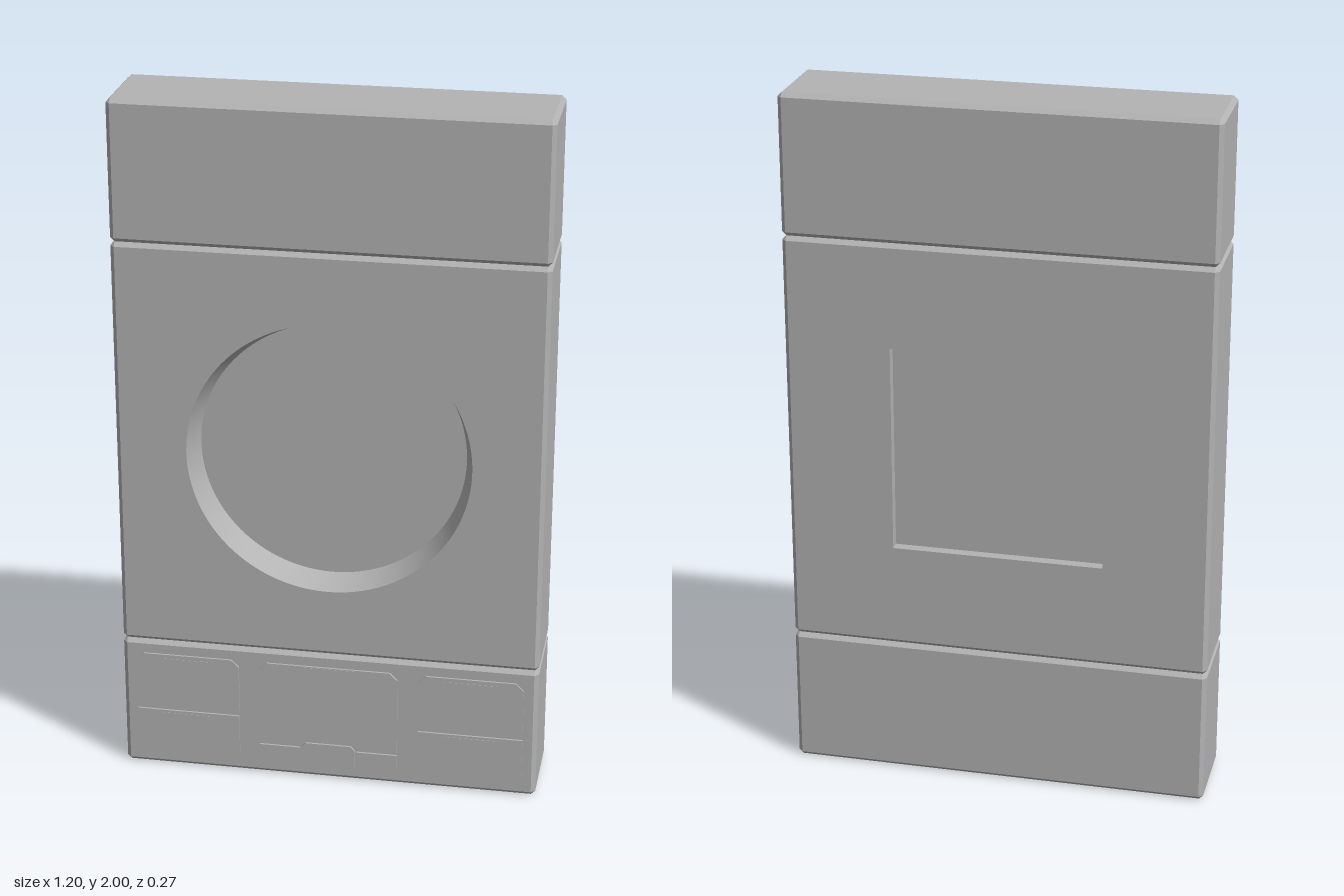
import * as THREE from 'three';

const FRONT = 0.127, BACK = -0.133, C = 0.012;
const grey = new THREE.MeshStandardMaterial({ color: 0xb3b3b3, side: THREE.DoubleSide });
grey.name = 'plain grey';

function add(parent, name, geometry, x = 0, y = 0, z = 0) {
  const mesh = new THREE.Mesh(geometry, grey);
  mesh.name = name;
  mesh.position.set(x, y, z);
  parent.add(mesh);
  return mesh;
}

const polygon = (pts) => new THREE.Shape(pts.map(([x, y]) => new THREE.Vector2(x, y)));

// Eight-point rectangle; the cuts i and j trim each corner along x and y.
function ring(w, h, i, j, z) {
  return [
    [w - i, -h, z], [w, -h + j, z], [w, h - j, z], [w - i, h, z],
    [-w + i, h, z], [-w, h - j, z], [-w, -h + j, z], [-w + i, -h, z],
  ];
}

// Chamfered sides of a block, lofted from back to front with flat facets.
function sides(w, h) {
  const rings = [
    ring(w - C, h - C, 0, 0, BACK), ring(w, h, C, C, BACK + C),
    ring(w, h, C, C, FRONT - C), ring(w - C, h - C, 0, 0, FRONT),
  ];
  const pos = [];
  for (let r = 0; r < 3; r++) {
    for (let k = 0; k < 8; k++) {
      const n = (k + 1) % 8;
      const a = rings[r][k], b = rings[r][n], c = rings[r + 1][n], d = rings[r + 1][k];
      pos.push(...a, ...b, ...c, ...a, ...c, ...d);
    }
  }
  const g = new THREE.BufferGeometry();
  g.setAttribute('position', new THREE.Float32BufferAttribute(pos, 3));
  g.computeVertexNormals();
  return g;
}

// Block standing between two heights, with optional openings in front and back.
function block(parent, name, y0, y1, frontHole, backHole) {
  const group = new THREE.Group();
  group.name = name;
  group.position.y = (y0 + y1) / 2;
  parent.add(group);
  const w = 0.6, h = (y1 - y0) / 2, a = w - C, b = h - C;
  add(group, name + 'Sides', sides(w, h));
  const face = (hole) => {
    const s = polygon([[-a, -b], [a, -b], [a, b], [-a, b]]);
    if (hole) s.holes.push(hole);
    return new THREE.ShapeGeometry(s, 64);
  };
  add(group, name + 'Front', face(frontHole), 0, 0, FRONT);
  add(group, name + 'Back', face(backHole), 0, 0, BACK).rotation.y = Math.PI;
  return group;
}

// Thin raised plate on the front of the base.
function plate(parent, name, pts, thickness = 0.006, z = FRONT) {
  const g = new THREE.ExtrudeGeometry(polygon(pts), { depth: thickness, bevelEnabled: false });
  return add(parent, name, g, 0, 0, z);
}

// Trapezoid finger pull hanging from a height.
function pull(parent, name, x, y) {
  plate(parent, name, [
    [x - 0.075, y], [x - 0.06, y - 0.022], [x + 0.06, y - 0.022], [x + 0.075, y],
  ], 0.002, FRONT + 0.005);
}

export function createModel() {
  const model = new THREE.Group();
  model.name = 'wallPanel';

  // Three stacked blocks
  const circle = new THREE.Path().absarc(0, 0, 0.4, 0, Math.PI * 2, true);
  const S = 0.3;
  const square = polygon([[-S, -S], [-S, S], [S, S], [S, -S]]);
  const base = block(model, 'baseBlock', 0, 0.4);
  const middle = block(model, 'middleBlock', 0.4, 1.6, circle, square);
  block(model, 'topBlock', 1.6, 2);

  // Round tapered recess in front
  const depth = 0.08;
  const wall = new THREE.LatheGeometry(
    [new THREE.Vector2(0.4, 0), new THREE.Vector2(0.375, -depth)], 128);
  wall.rotateX(Math.PI / 2);
  add(middle, 'roundRecessWall', wall, 0, 0, FRONT);
  add(middle, 'roundRecessFloor', new THREE.CircleGeometry(0.375, 128), 0, 0, FRONT - depth);

  // Shallow square recess in the back
  const shallow = 0.03;
  for (let k = 0; k < 4; k++) {
    const g = new THREE.PlaneGeometry(2 * S, shallow);
    g.rotateX(Math.PI / 2);
    g.translate(0, S, BACK + shallow / 2);
    g.rotateZ(k * Math.PI / 2);
    add(middle, 'squareRecessWall', g);
  }
  add(middle, 'squareRecessFloor', new THREE.PlaneGeometry(2 * S, 2 * S), 0, 0, BACK + shallow)
    .rotation.y = Math.PI;

  // Front panels, laid out in heights from the ground
  const panels = new THREE.Group();
  panels.name = 'frontPanels';
  panels.position.y = -0.2;
  base.add(panels);
  const k = 0.022, bottom = 0.04, top = 0.36;

  // Paired drawers at each side
  for (const x of [-0.41, 0.41]) {
    const l = x - 0.15, r = x + 0.15;
    plate(panels, 'upperDrawer', [
      [l, 0.186], [r, 0.186], [r, top - k], [r - k, top], [l + k, top], [l, top - k],
    ]);
    plate(panels, 'lowerDrawer', [
      [l + k, bottom], [r - k, bottom], [r, bottom + k], [r, 0.18], [l, 0.18], [l, bottom + k],
    ]);
    pull(panels, 'upperDrawerPull', x, top - 0.012);
    pull(panels, 'lowerDrawerPull', x, 0.172);
  }

  // Central door with a stepped lower edge
  plate(panels, 'centreDoor', [
    [-0.2, 0.1], [-0.085, 0.1], [-0.07, 0.116], [0.07, 0.116], [0.085, 0.1], [0.2, 0.1],
    [0.2, top - k], [0.2 - k, top], [-0.2 + k, top], [-0.2, top - k],
  ]);
  pull(panels, 'centreDoorPull', 0, top - 0.003);
  for (const s of [-1, 1]) {
    plate(panels, 'kickPlate', [
      [s * 0.2, bottom], [s * 0.083, bottom], [s * 0.083, 0.095], [s * 0.2, 0.095],
    ]);
  }
  plate(panels, 'footTab', [
    [-0.078, bottom], [0.078, bottom], [0.078, 0.097], [0.066, 0.111], [-0.066, 0.111], [-0.078, 0.097],
  ]);

  return model;
}
